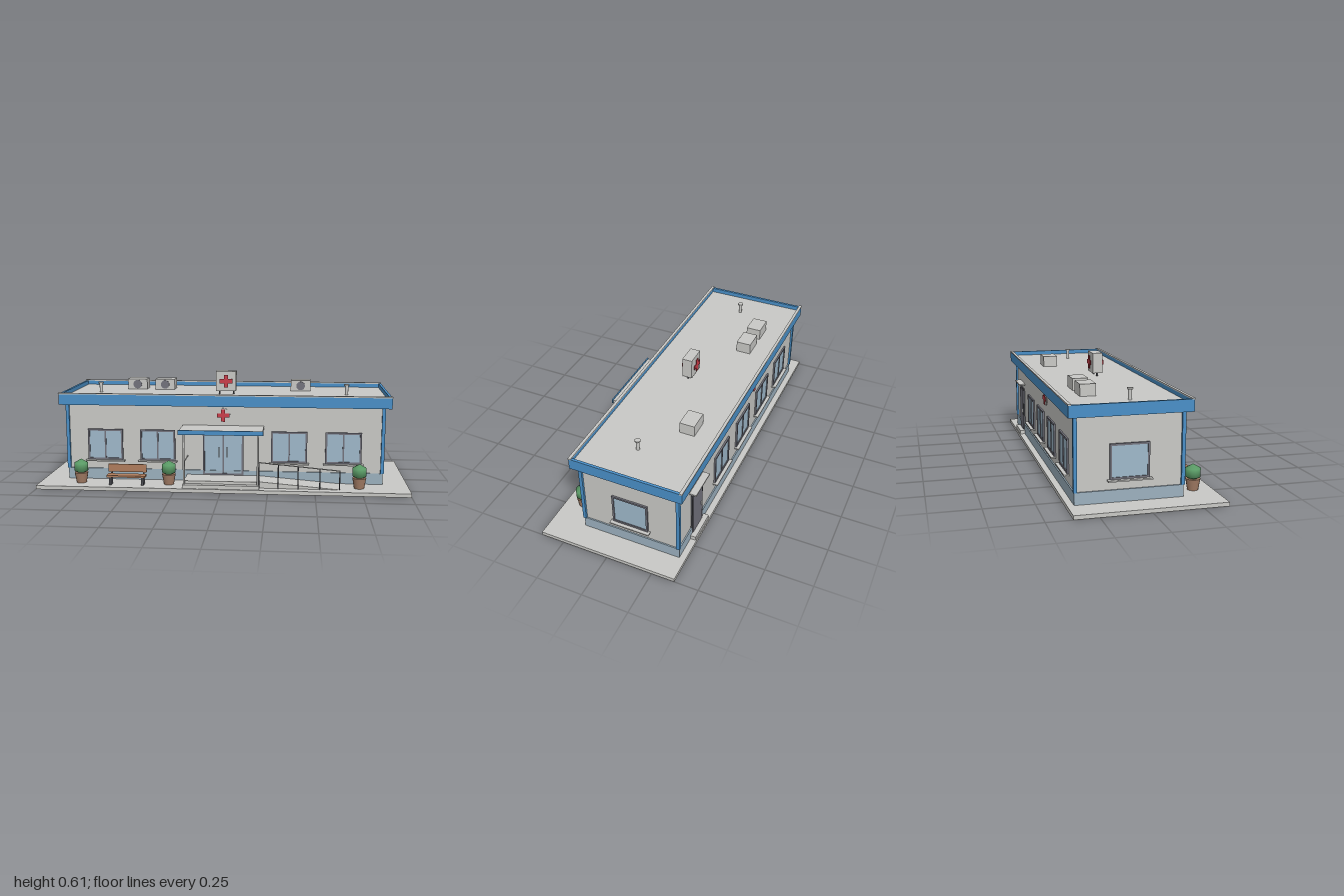
import * as THREE from 'three';

const mat = (name, color, side = THREE.FrontSide) => {
  const m = new THREE.MeshStandardMaterial({ color, side });
  m.name = name;
  return m;
};

export function createModel() {
  const M = {
    wall: mat('pale grey', 0xc9c9c6),
    blue: mat('trim blue', 0x4a90c8),
    plinth: mat('plinth blue grey', 0x9cb1bf),
    glass: mat('glass blue', 0x9fb9cb),
    frame: mat('frame grey', 0x73737d),
    dark: mat('dark metal', 0x55565c),
    red: mat('red', 0xcc3f4a),
    wood: mat('wood', 0xb07d5c),
    pot: mat('clay', 0xa57e66),
    leaf: mat('leaf green', 0x5c9e68),
  };
  const root = new THREE.Group();
  root.name = 'clinicBuilding';

  const add = (parent, name, geo, m, x = 0, y = 0, z = 0) => {
    const mesh = new THREE.Mesh(geo, m);
    mesh.name = name;
    mesh.position.set(x, y, z);
    parent.add(mesh);
    return mesh;
  };
  // Box given by its extents on each axis
  const box = (parent, name, m, x0, x1, y0, y1, z0, z1) =>
    add(parent, name, new THREE.BoxGeometry(x1 - x0, y1 - y0, z1 - z0), m,
      (x0 + x1) / 2, (y0 + y1) / 2, (z0 + z1) / 2);
  const cyl = (parent, name, m, r0, r1, h, x, y, z, seg = 16) =>
    add(parent, name, new THREE.CylinderGeometry(r1, r0, h, seg), m, x, y + h / 2, z);
  const group = (name, x = 0, y = 0, z = 0, turn = 0) => {
    const g = new THREE.Group();
    g.name = name;
    g.position.set(x, y, z);
    g.rotation.y = turn;
    root.add(g);
    return g;
  };
  // Thin rod between two points
  const rod = (parent, name, m, a, b, r) => {
    const curve = new THREE.LineCurve3(new THREE.Vector3(...a), new THREE.Vector3(...b));
    return add(parent, name, new THREE.TubeGeometry(curve, 1, r, 8), m);
  };

  // Ground slab, plinth and walls
  const ZF = 0.188, ZB = -0.333, XE = 0.86, ZM = -0.0725;
  box(root, 'groundSlab', M.wall, -1, 1, 0, 0.02, -0.373, 0.376);
  box(root, 'plinth', M.plinth, -0.867, 0.867, 0.02, 0.08, -0.34, 0.195);
  box(root, 'walls', M.wall, -XE, XE, 0.08, 0.44, ZB, ZF);
  for (const s of [-1, 1]) {
    const [a, b] = s < 0 ? [-0.872, -0.854] : [0.854, 0.872];
    box(root, 'cornerTrim', M.blue, a, b, 0.08, 0.44, 0.182, 0.2);
    box(root, 'cornerTrim', M.blue, a, b, 0.08, 0.44, -0.344, -0.326);
  }

  // Flat roof sunk inside a blue parapet
  box(root, 'roofDeck', M.wall, -0.889, 0.889, 0.441, 0.476, -0.361, 0.217);
  box(root, 'frontParapet', M.blue, -0.902, 0.902, 0.44, 0.498, 0.216, 0.228);
  box(root, 'backParapet', M.blue, -0.902, 0.902, 0.44, 0.498, -0.372, -0.36);
  box(root, 'leftParapet', M.blue, 0.888, 0.902, 0.44, 0.5, -0.36, 0.216);
  box(root, 'rightParapet', M.blue, -0.902, -0.888, 0.44, 0.5, -0.36, 0.216);
  box(root, 'frontCoping', M.wall, -0.904, 0.904, 0.498, 0.505, 0.214, 0.23);
  box(root, 'backCoping', M.wall, -0.904, 0.904, 0.498, 0.505, -0.374, -0.358);

  // Rectangular frame with glass, facing local +z from the wall plane
  const framed = (g, w, y0, y1, t, mullion) => {
    const h = w / 2;
    box(g, 'glass', M.glass, -h + t, h - t, y0 + t, y1 - t, 0, 0.004);
    box(g, 'frameTop', M.frame, -h, h, y1 - t, y1, 0, 0.009);
    box(g, 'frameBottom', M.frame, -h, h, y0, y0 + t, 0, 0.009);
    for (const s of [-1, 1])
      box(g, 'frameSide', M.frame, s * (h - t / 2) - t / 2, s * (h - t / 2) + t / 2, y0 + t, y1 - t, 0, 0.009);
    if (mullion) box(g, 'mullion', M.frame, -0.004, 0.004, y0 + t, y1 - t, 0, 0.008);
  };
  const windowAt = (x, z, turn, mullion) => {
    const g = group('window', x, 0, z, turn);
    framed(g, 0.195, 0.13, 0.302, 0.01, mullion);
    box(g, 'sill', M.wall, -0.108, 0.108, 0.123, 0.13, 0, 0.027);
  };
  for (const x of [-0.655, -0.363, 0.36, 0.653]) windowAt(x, ZF, 0, true);
  for (const x of [0.312, 0, -0.312, -0.628]) windowAt(x, ZB, Math.PI, true);
  windowAt(XE, ZM, Math.PI / 2, false);
  windowAt(-XE, ZM, -Math.PI / 2, false);

  // Red crosses
  const crossGeometry = (size, depth) => {
    const a = size / 2, b = size / 6;
    const pts = [[-b, -a], [b, -a], [b, -b], [a, -b], [a, b], [b, b],
      [b, a], [-b, a], [-b, b], [-a, b], [-a, -b], [-b, -b]];
    return new THREE.ExtrudeGeometry(new THREE.Shape(pts.map(p => new THREE.Vector2(...p))),
      { depth, bevelEnabled: false });
  };
  for (const [x, z, turn] of [[0, ZF, 0], [-0.157, ZB, Math.PI]]) {
    const g = group('wallCross', x, 0.388, z, turn);
    add(g, 'disc', new THREE.CylinderGeometry(0.039, 0.039, 0.004, 28), M.wall, 0, 0, 0.002).rotation.x = Math.PI / 2;
    add(g, 'cross', crossGeometry(0.068, 0.004), M.red, 0, 0, 0.008);
  }

  // Roof sign with a cross on both faces
  const sign = group('roofSign', 0, 0, -0.02);
  box(sign, 'signBox', M.wall, -0.056, 0.056, 0.495, 0.607, -0.028, 0.028);
  for (const s of [-1, 1]) {
    box(sign, 'signLeg', M.dark, s * 0.04 - 0.004, s * 0.04 + 0.004, 0.476, 0.495, -0.004, 0.004);
    const c = add(sign, 'signCross', crossGeometry(0.072, 0.004), M.red, 0, 0.552, s * 0.034);
    if (s < 0) c.rotation.y = Math.PI;
  }

  // Rooftop cooling units and vent pipes
  for (const x of [-0.54, -0.376, 0.42]) {
    const g = group('coolingUnit', x, 0, -0.207);
    box(g, 'casing', M.wall, -0.057, 0.057, 0.476, 0.537, -0.041, 0.041);
    add(g, 'fan', new THREE.CylinderGeometry(0.025, 0.025, 0.005, 24), M.frame, 0, 0.506, 0.042).rotation.x = Math.PI / 2;
  }
  for (const x of [-0.727, 0.677]) {
    cyl(root, 'ventPipe', M.wall, 0.009, 0.009, 0.053, x, 0.476, -0.033);
    cyl(root, 'ventCap', M.wall, 0.015, 0.015, 0.008, x, 0.527, -0.033);
  }

  // Entrance: steps, double door, canopy
  box(root, 'lowerStep', M.wall, -0.205, 0.205, 0.02, 0.04, 0.19, 0.367);
  box(root, 'landing', M.wall, -0.2, 0.2, 0.04, 0.055, 0.19, 0.337);
  const door = group('entranceDoor', 0, 0, ZF);
  framed(door, 0.224, 0.055, 0.315, 0.01, true);
  for (const s of [-1, 1]) {
    box(door, 'doorHandle', M.wall, s * 0.022 - 0.003, s * 0.022 + 0.003, 0.155, 0.21, 0.008, 0.017);
    cyl(root, 'canopyPost', M.wall, 0.0055, 0.0055, 0.276, s * 0.197, 0.04, 0.349, 10);
  }
  box(root, 'canopy', M.wall, -0.222, 0.222, 0.315, 0.331, ZF, 0.36);
  box(root, 'canopyFascia', M.blue, -0.225, 0.225, 0.311, 0.335, 0.36, 0.367);
  rod(root, 'landingRail', M.wall, [-0.196, 0.159, 0.19], [-0.196, 0.159, 0.335], 0.003);
  rod(root, 'landingRailPost', M.wall, [-0.196, 0.055, 0.332], [-0.196, 0.16, 0.332], 0.003);

  // Ramp with a sloping handrail
  const wedge = new THREE.Shape([[0.2, 0.02], [0.63, 0.02], [0.2, 0.055]].map(p => new THREE.Vector2(...p)));
  add(root, 'ramp', new THREE.ExtrudeGeometry(wedge, { depth: 0.132, bevelEnabled: false }), M.wall, 0, 0, 0.194);
  const railY = x => 0.161 - (x - 0.2) * 0.088;
  rod(root, 'rampRail', M.wall, [0.2, railY(0.2), 0.329], [0.632, railY(0.632), 0.329], 0.003);
  for (const x of [0.203, 0.305, 0.41, 0.525, 0.629])
    rod(root, 'rampRailPost', M.dark, [x, 0.02, 0.329], [x, railY(x), 0.329], 0.003);

  // Back door with step and small canopy
  const back = group('backDoor', 0.645, 0, ZB, Math.PI);
  box(back, 'doorFrame', M.dark, -0.066, 0.066, 0.042, 0.305, 0, 0.008);
  box(back, 'doorPanel', M.frame, -0.056, 0.056, 0.042, 0.295, 0.007, 0.011);
  box(back, 'doorKnob', M.wall, 0.04, 0.046, 0.15, 0.175, 0.01, 0.016);
  box(back, 'doorStep', M.wall, -0.085, 0.085, 0.02, 0.042, 0, 0.036);
  box(back, 'doorCanopy', M.wall, -0.085, 0.085, 0.331, 0.339, 0, 0.037);

  // Bench
  const bench = group('bench', -0.515, 0, 0.307);
  box(bench, 'seat', M.wood, -0.105, 0.105, 0.064, 0.074, -0.024, 0.029);
  box(bench, 'backrest', M.wood, -0.105, 0.105, 0.084, 0.127, -0.027, -0.02);
  for (const s of [-1, 1]) {
    box(bench, 'benchLeg', M.dark, s * 0.088 - 0.006, s * 0.088 + 0.006, 0.02, 0.064, -0.022, 0.022);
    box(bench, 'backrestSupport', M.dark, s * 0.088 - 0.004, s * 0.088 + 0.004, 0.06, 0.12, -0.031, -0.026);
  }

  // Potted shrubs
  for (const x of [-0.773, -0.289, 0.735]) {
    const g = group('pottedShrub', x, 0, 0.278);
    cyl(g, 'pot', M.pot, 0.027, 0.037, 0.057, 0, 0.02, 0, 18);
    add(g, 'shrub', new THREE.SphereGeometry(0.043, 16, 3), M.leaf, 0, 0.108, 0);
  }
  return root;
}
